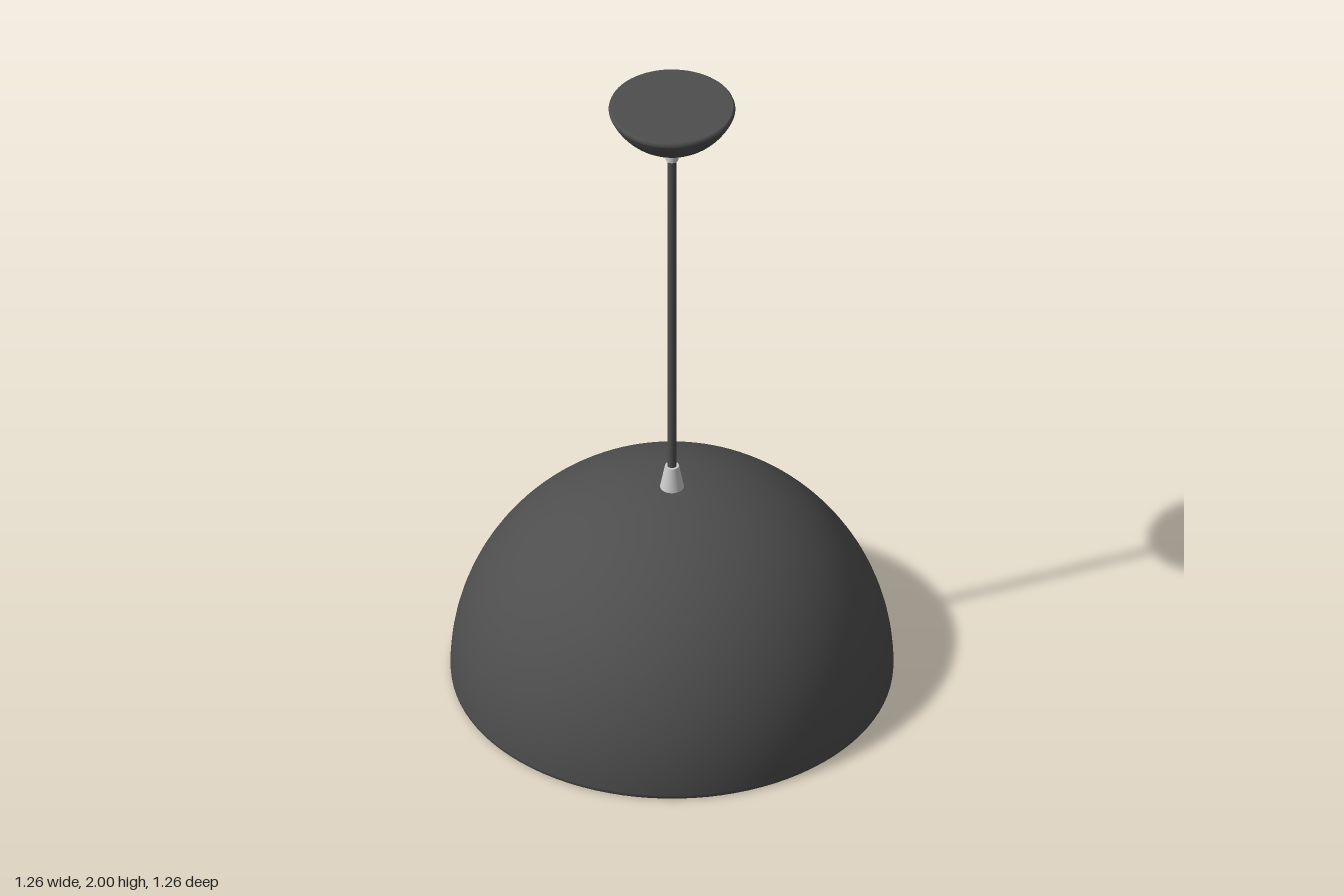
import * as THREE from 'three';

const dark = new THREE.MeshStandardMaterial({ color: 0x4e4e4e });
const tan = new THREE.MeshStandardMaterial({ color: 0xdcae72 });
const grey = new THREE.MeshStandardMaterial({ color: 0xcccccc });

// Points of an arc about (0, cy), angles in radians from +x
function arc(radius, cy, from, to, steps) {
  return Array.from({ length: steps + 1 }, (_, i) => {
    const a = from + ((to - from) * i) / steps;
    return new THREE.Vector2(Math.max(0, radius * Math.cos(a)), cy + radius * Math.sin(a));
  });
}

const points = (list) => list.map(([x, y]) => new THREE.Vector2(x, y));

export function createModel() {
  const model = new THREE.Group();
  model.name = 'pendantLamp';

  const add = (name, geometry, material, y = 0) => {
    const mesh = new THREE.Mesh(geometry, material);
    mesh.name = name;
    mesh.position.y = y;
    model.add(mesh);
  };
  const lathe = (name, profile, material, segments = 96) =>
    add(name, new THREE.LatheGeometry(profile, segments), material);
  const rod = (name, top, bottom, y0, y1, material) =>
    add(name, new THREE.CylinderGeometry(top, bottom, y1 - y0, 32), material, (y0 + y1) / 2);

  // Hemispherical shade: outer shell, lining and rim
  const half = Math.PI / 2;
  lathe('shadeOuter', arc(0.632, 0.013, 0, half, 40), dark);
  lathe('shadeLining', arc(0.608, 0.013, half, 0, 40), tan);
  lathe('shadeRim', points([[0.608, 0.013], [0.609, 0.004], [0.613, 0], [0.627, 0], [0.631, 0.004], [0.632, 0.013]]), dark);

  // Bulb and its socket under the crown
  add('bulb', new THREE.SphereGeometry(0.145, 48, 32), grey, 0.33);
  rod('bulbSocket', 0.05, 0.05, 0.45, 0.62, grey);

  // Cable with its end fittings
  rod('shadeFitting', 0.02, 0.035, 0.64, 0.718, grey);
  rod('cable', 0.013, 0.013, 0.7, 1.83, dark);
  rod('canopyFitting', 0.018, 0.018, 1.81, 1.88, grey);

  // Ceiling canopy: shallow bowl, rounded lip and flat top
  const capRadius = 0.195;
  const lip = Math.asin((1.985 - 1.865 - capRadius) / capRadius);
  lathe('canopyBowl', arc(capRadius, 1.865 + capRadius, -half, lip, 24), dark, 64);
  lathe('canopyLip', points([[0.18, 1.985], [0.181, 1.991], [0.179, 1.997], [0.175, 2]]), dark, 64);
  lathe('canopyTop', points([[0.175, 2], [0, 2]]), dark, 64);

  return model;
}
